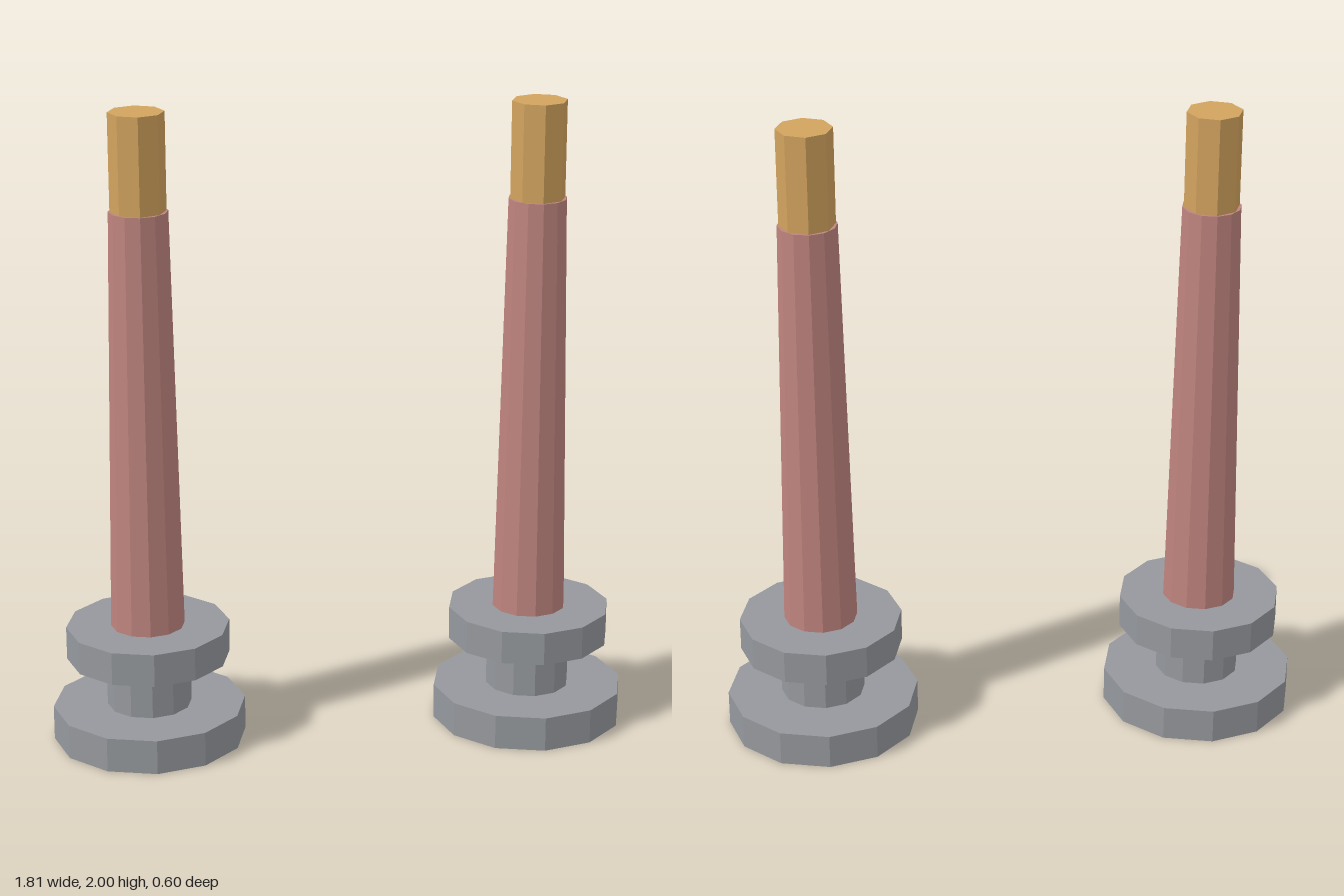
import * as THREE from 'three';

const flat = (name, color) => {
  const material = new THREE.MeshStandardMaterial({ color, flatShading: true });
  material.name = name;
  return material;
};

export function createModel() {
  const grey = flat('grey metal', 0x95989d);
  const rose = flat('dusty rose', 0xbf847e);
  const gold = flat('gold', 0xd2a35e);

  // name, bottom radius, top radius, bottom y, top y, sides, material
  const sections = [
    ['baseDisc', 0.302, 0.302, 0, 0.11, 12, grey],
    ['neck', 0.132, 0.132, 0.11, 0.27, 12, grey],
    ['upperDisc', 0.255, 0.255, 0.27, 0.375, 12, grey],
    ['shaft', 0.115, 0.09, 0.375, 1.7, 12, rose],
    ['tip', 0.085, 0.085, 1.7, 2, 8, gold],
  ];

  // One stacked post, built from the floor up
  const makePost = (name, x) => {
    const post = new THREE.Group();
    post.name = name;
    post.position.x = x;
    for (const [part, r0, r1, y0, y1, sides, material] of sections) {
      const mesh = new THREE.Mesh(new THREE.CylinderGeometry(r1, r0, y1 - y0, sides), material);
      mesh.name = part;
      mesh.position.y = (y0 + y1) / 2;
      post.add(mesh);
    }
    return post;
  };

  const model = new THREE.Group();
  model.name = 'pairOfPosts';
  model.add(makePost('leftPost', 0.605), makePost('rightPost', -0.605));
  return model;
}
